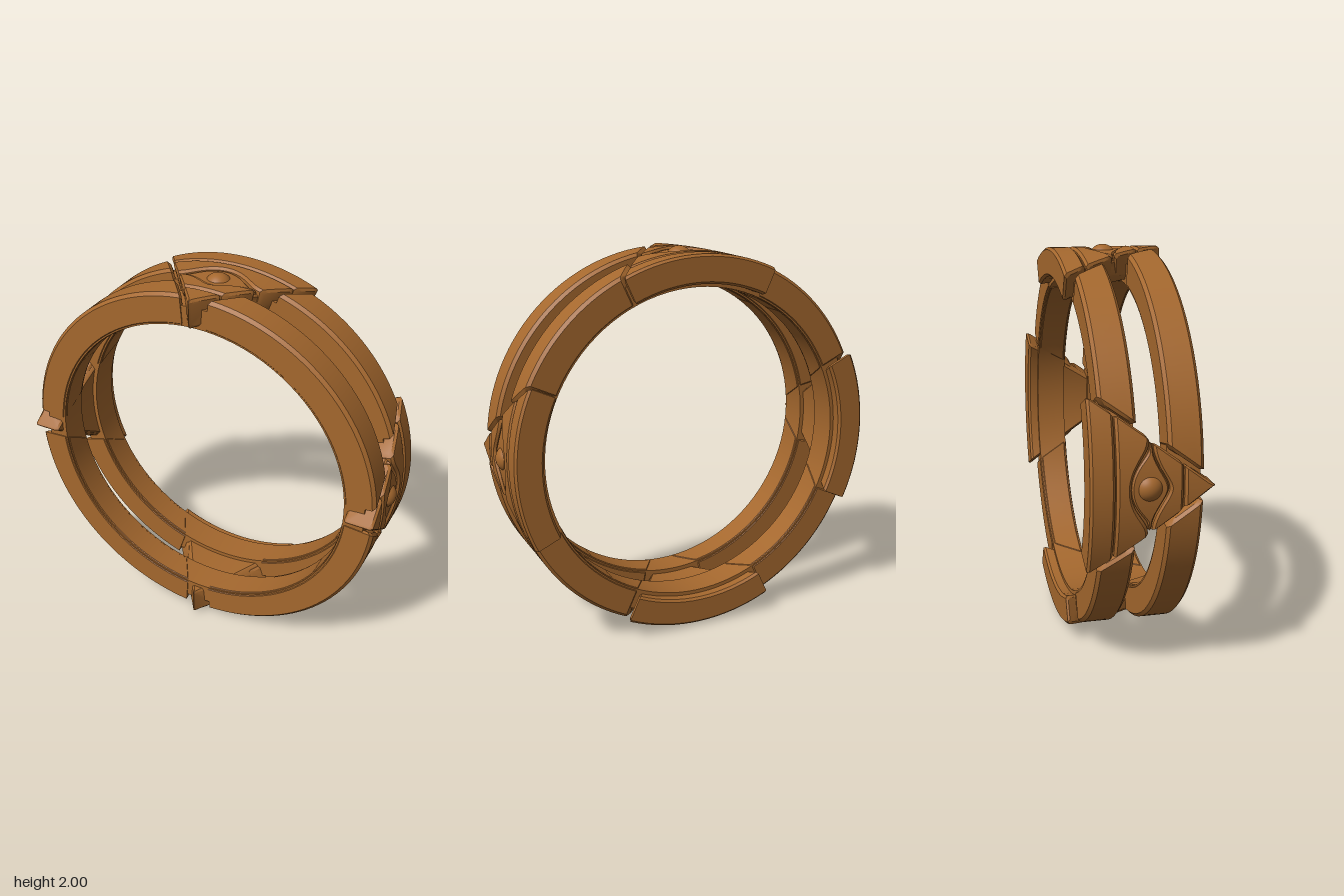
import * as THREE from 'three';
import { toCreasedNormals } from 'three/addons/utils/BufferGeometryUtils.js';

const material = new THREE.MeshStandardMaterial({ color: 0xa5682e });
const R = 0.98; // radius at which arc widths are measured

// Bevelled plate bent around the z axis, centred on the +y direction.
// lo/hi: z limits as functions of t in [-1, 1]; half: half arc width as a function of z.
function plate(name, { lo, hi, half, r0, r1, bevel = 0.012, columns = 16, rows = 5 }) {
  const cols = [[-1, 0, bevel]];
  for (let i = 0; i <= columns; i++) cols.push([-1 + (2 * i) / columns, bevel, 0]);
  cols.push([1, 0, bevel]);

  const pos = [], index = [];
  for (const [t, off, shrink] of cols) {
    const z0 = lo(t) + shrink, z1 = hi(t) - shrink;
    const a = r0 + shrink, b = r1 - shrink;
    const c = Math.min(bevel, (z1 - z0) * 0.3);
    const loop = [];
    for (let i = 0; i <= rows; i++) loop.push([z0 + c + ((z1 - z0 - 2 * c) * i) / rows, b]);
    loop.push([z1, b - c], [z1, a + c]);
    for (let i = rows; i >= 0; i--) loop.push([z0 + c + ((z1 - z0 - 2 * c) * i) / rows, a]);
    loop.push([z0, a + c], [z0, b - c]);
    for (const [z, r] of loop) {
      const angle = (t * Math.max(0.002, half(z) - off)) / R;
      pos.push(r * Math.sin(angle), r * Math.cos(angle), z);
    }
  }
  const n = 2 * rows + 6, last = (cols.length - 1) * n;
  for (let j = 0; j < cols.length - 1; j++) {
    for (let i = 0; i < n; i++) {
      const p = j * n + i, q = j * n + ((i + 1) % n);
      index.push(p, q, p + n, q, q + n, p + n);
    }
  }
  for (let i = 1; i < n - 1; i++) {
    index.push(0, i + 1, i, last, last + i, last + i + 1);
  }
  const geo = new THREE.BufferGeometry();
  geo.setAttribute('position', new THREE.Float32BufferAttribute(pos, 3));
  geo.setIndex(index);
  const mesh = new THREE.Mesh(toCreasedNormals(geo, 0.5), material);
  mesh.name = name;
  return mesh;
}

const at = (z) => () => z;
// Half width of the triangular emblem at depth z
const taper = (z) => Math.max(0.003, 0.75 * (0.288 - z));
// Eyelid curves
const arch = (t) => Math.cos((t * Math.PI) / 2) ** 2;
const upperLid = (t) => -0.016 - 0.085 * arch(t);
const lowerLid = (t) => 0.002 + 0.075 * arch(t);

function createEmblem() {
  const g = new THREE.Group();
  g.name = 'emblem';
  g.add(
    plate('emblemBase', { lo: at(-0.27), hi: at(0.27), half: (z) => taper(z) - 0.008, r0: 0.84, r1: 0.957, rows: 10 }),
    plate('backBar', { lo: at(-0.287), hi: at(-0.173), half: (z) => taper(z) + 0.004, r0: 0.838, r1: 0.985 }),
    plate('upperLid', { lo: at(-0.167), hi: upperLid, half: (z) => taper(z) + 0.008, r0: 0.86, r1: 0.985, columns: 28 }),
    plate('lowerLid', { lo: lowerLid, hi: at(0.14), half: taper, r0: 0.86, r1: 0.985, columns: 28 }),
    plate('tip', { lo: at(0.147), hi: at(0.287), half: taper, r0: 0.838, r1: 0.985 }),
    plate('eyeSurface', {
      lo: (t) => upperLid(t) + 0.004, hi: (t) => lowerLid(t) - 0.004,
      half: (z) => taper(z) - 0.015, r0: 0.9, r1: 0.974, bevel: 0.008, columns: 28,
    }),
  );
  const iris = new THREE.Mesh(new THREE.SphereGeometry(0.071, 32, 20), material);
  iris.name = 'iris';
  iris.position.set(0, 0.929, -0.012);
  g.add(iris);
  return g;
}

// Continuous inner core of one band, seen at the bottom of the gaps
function createCore(z0, z1) {
  const p = [[0.818, z0], [0.925, z0], [0.925, z1], [0.818, z1], [0.818, z0]];
  const geo = new THREE.LatheGeometry(p.map(([r, z]) => new THREE.Vector2(r, z)), 96);
  geo.rotateX(Math.PI / 2);
  const mesh = new THREE.Mesh(toCreasedNormals(geo, 0.5), material);
  mesh.name = 'bandCore';
  return mesh;
}

export function createModel() {
  const model = new THREE.Group();
  model.name = 'ring';
  const body = new THREE.Group();
  body.position.y = 0.997;
  model.add(body);

  // Band segments run between emblems, their ends cut parallel to the emblem sides
  const segmentHalf = (z) => (R * Math.PI) / 4 - taper(z) - 0.022;
  const bands = [['frontBand', 0.072, 0.237], ['backBand', -0.235, -0.068]];
  for (const [, z0, z1] of bands) body.add(createCore(z0 + 0.004, z1 - 0.004));

  for (let k = 0; k < 4; k++) {
    const emblem = createEmblem();
    emblem.rotation.z = (k * Math.PI) / 2;
    body.add(emblem);
    for (const [name, z0, z1] of bands) {
      const segment = plate(name, {
        lo: at(z0), hi: at(z1), half: segmentHalf, r0: 0.814, r1: 0.98, bevel: 0.016, columns: 28,
      });
      segment.rotation.z = (k * Math.PI) / 2 + Math.PI / 4;
      body.add(segment);
    }
  }
  return model;
}
